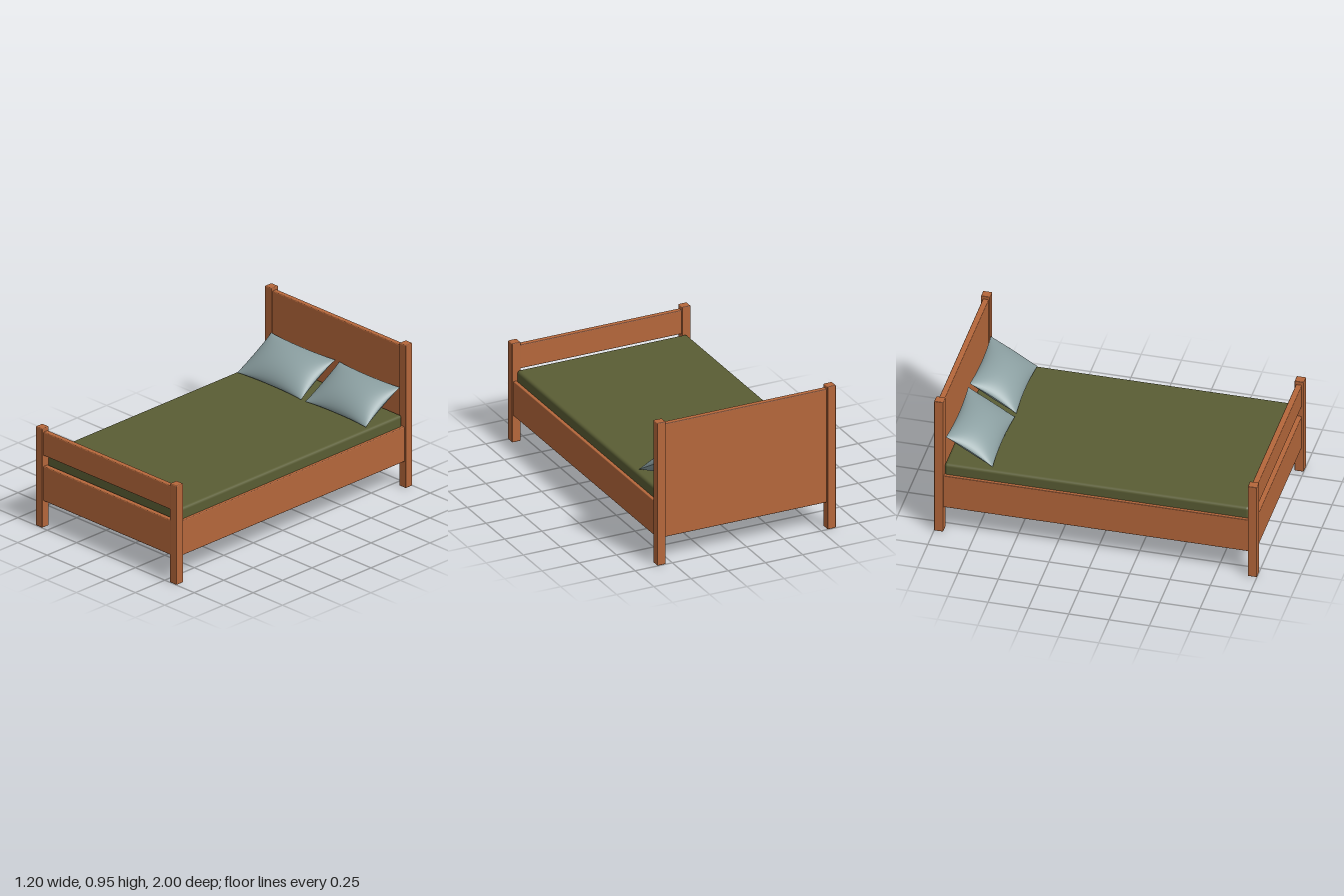
import * as THREE from 'three';
import { RoundedBoxGeometry } from 'three/addons/geometries/RoundedBoxGeometry.js';
import { mergeGeometries } from 'three/addons/utils/BufferGeometryUtils.js';

const mat = (name, color) => new THREE.MeshStandardMaterial({ name, color });

// Two domed sheets meeting at a seam, with pinched sides and pointed corners
function pillowGeometry(width, depth, half) {
  const sheet = (side) => {
    const g = new THREE.PlaneGeometry(2, 2, 28, 20);
    const p = g.attributes.position;
    for (let i = 0; i < p.count; i++) {
      const u = Math.sin(p.getX(i) * Math.PI / 2);
      const v = Math.sin(p.getY(i) * Math.PI / 2);
      const dome = Math.pow(Math.max(0, (1 - u * u) * (1 - v * v)), 0.6);
      p.setXYZ(i,
        side * u * width / 2 * (1 - 0.045 * (1 - v * v)),
        half * dome * side,
        -v * depth / 2 * (1 - 0.07 * (1 - u * u)));
    }
    g.computeVertexNormals();
    return g;
  };
  return mergeGeometries([sheet(1), sheet(-1)]);
}

export function createModel() {
  const bed = new THREE.Group();
  bed.name = 'bed';
  const wood = mat('wood', 0xb5673b);
  const blanket = mat('olive fabric', 0x5a5d34);
  const linen = mat('grey blue linen', 0x8ca0a2);

  // Rounded block given by its limits on each axis
  const block = (name, [x0, x1], [y0, y1], [z0, z1], r, material) => {
    const m = new THREE.Mesh(new RoundedBoxGeometry(x1 - x0, y1 - y0, z1 - z0, 2, r), material);
    m.position.set((x0 + x1) / 2, (y0 + y1) / 2, (z0 + z1) / 2);
    m.name = name;
    bed.add(m);
  };

  // Corner posts and side rails
  for (const s of [-1, 1]) {
    const x = s > 0 ? [0.543, 0.6] : [-0.6, -0.543];
    const side = s > 0 ? 'left' : 'right';
    block(side + 'FootPost', x, [0, 0.656], [0.943, 1], 0.005, wood);
    block(side + 'HeadPost', x, [0, 0.946], [-1, -0.943], 0.005, wood);
    block(side + 'Rail', s > 0 ? [0.56, 0.591] : [-0.591, -0.56], [0.175, 0.404], [-0.96, 0.96], 0.005, wood);
  }

  // Boards at both ends and the base under the mattress
  block('headboard', [-0.56, 0.56], [0.175, 0.926], [-0.988, -0.952], 0.005, wood);
  block('footboardTop', [-0.56, 0.56], [0.476, 0.632], [0.952, 0.988], 0.005, wood);
  block('footboardBottom', [-0.56, 0.56], [0.175, 0.404], [0.952, 0.988], 0.005, wood);
  block('base', [-0.57, 0.57], [0.34, 0.385], [-0.96, 0.96], 0.003, wood);

  // Mattress
  block('mattress', [-0.571, 0.571], [0.38, 0.476], [-0.943, 0.943], 0.018, blanket);

  // Pillows leaning on the headboard
  for (const [name, x, width] of [['rightPillow', -0.27, 0.545], ['leftPillow', 0.295, 0.515]]) {
    const m = new THREE.Mesh(pillowGeometry(width, 0.335, 0.078), linen);
    m.name = name;
    m.position.set(x, 0.57, -0.796);
    m.rotation.x = 0.53;
    bed.add(m);
  }
  return bed;
}
